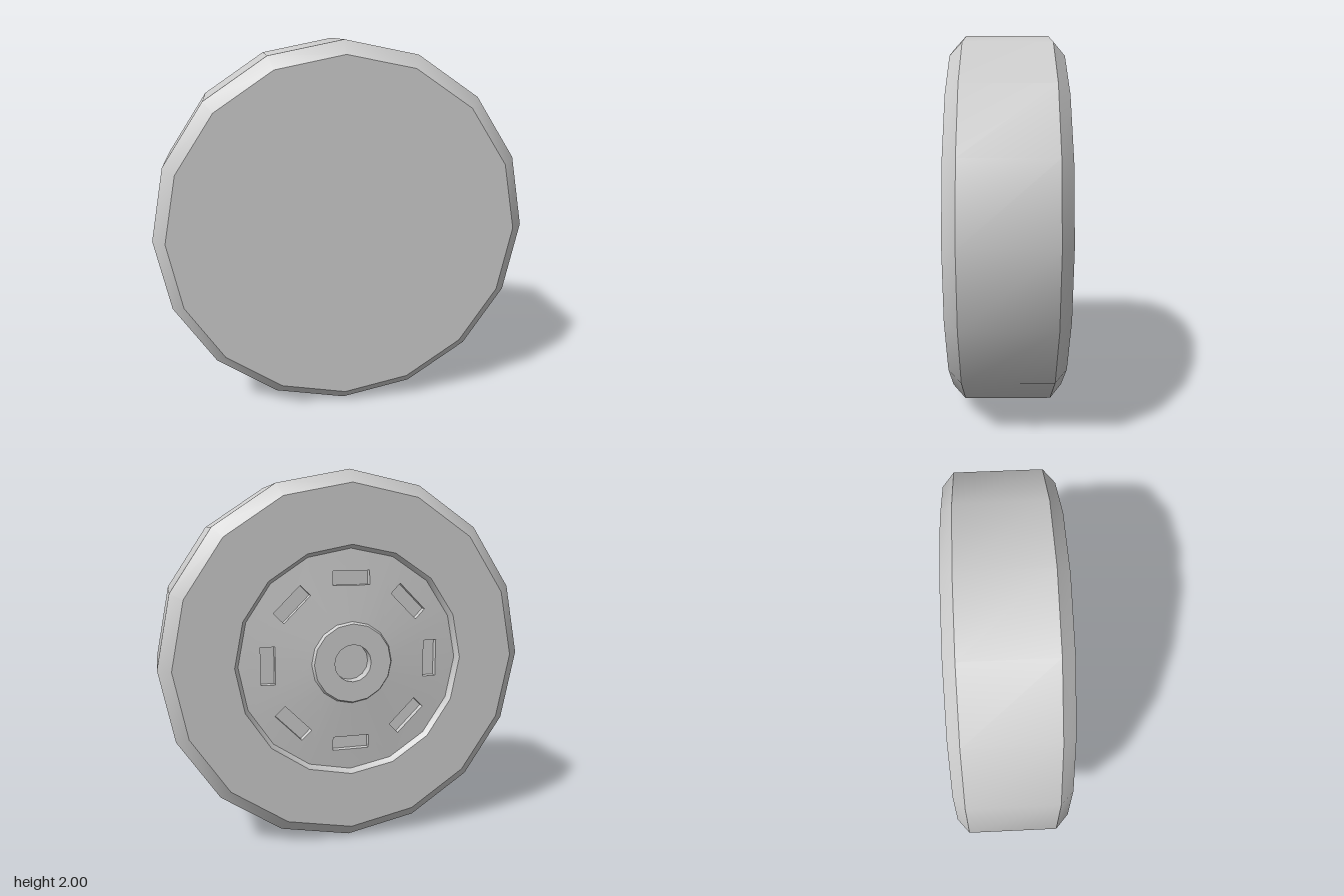
import * as THREE from 'three';
import { toCreasedNormals } from 'three/addons/utils/BufferGeometryUtils.js';

const SIDES = 16, SLOTS = 8;
const HUB_R = 0.22, HUB_Z = 0.28, RIM_R = 0.6, RIM_Z = 0.25;
const SLOT = { inner: 0.41, outer: 0.485, length: 0.2, floorZ: 0.225 };
const SLOPE = (RIM_Z - HUB_Z) / (RIM_R - HUB_R);

// Height of the shallow conical disc at a given radius
const discZ = (x, y) => HUB_Z + SLOPE * (Math.hypot(x, y) - HUB_R);

const polar = (r, a) => new THREE.Vector2(r * Math.cos(a), r * Math.sin(a));

function addMesh(parent, name, geometry, material) {
  const mesh = new THREE.Mesh(geometry, material);
  mesh.name = name;
  parent.add(mesh);
  return mesh;
}

// Revolve a [radius, z] profile around the z axis, keeping its edges sharp
function revolve(profile) {
  const points = profile.map(([r, z]) => new THREE.Vector2(r, z));
  const geometry = new THREE.LatheGeometry(points, SIDES).rotateX(Math.PI / 2);
  return toCreasedNormals(geometry, 0.5);
}

// One eighth of the disc, cut by a slot and raised into a cone
function discSector() {
  const h = Math.PI / SLOTS, w = SLOT.length / 2;
  const shape = new THREE.Shape([
    polar(HUB_R, -h), polar(RIM_R, -h), polar(RIM_R, 0),
    polar(RIM_R, h), polar(HUB_R, h), polar(HUB_R, 0),
  ]);
  shape.holes.push(new THREE.Path([
    new THREE.Vector2(SLOT.inner, -w), new THREE.Vector2(SLOT.inner, w),
    new THREE.Vector2(SLOT.outer, w), new THREE.Vector2(SLOT.outer, -w),
  ]));
  const geometry = new THREE.ShapeGeometry(shape);
  const pos = geometry.attributes.position, normal = geometry.attributes.normal;
  const n = new THREE.Vector3();
  for (let i = 0; i < pos.count; i++) {
    const x = pos.getX(i), y = pos.getY(i), r = Math.hypot(x, y);
    pos.setZ(i, discZ(x, y));
    n.set(-SLOPE * x / r, -SLOPE * y / r, 1).normalize();
    normal.setXYZ(i, n.x, n.y, n.z);
  }
  return geometry;
}

// Inward-facing open box whose rim follows the cone
function slotPocket() {
  const geometry = new THREE.BoxGeometry(SLOT.outer - SLOT.inner, SLOT.length, 1);
  geometry.scale(1, 1, -1).translate((SLOT.inner + SLOT.outer) / 2, 0, 0);
  geometry.setIndex(Array.from(geometry.index.array).slice(0, 30));
  geometry.clearGroups();
  const pos = geometry.attributes.position;
  for (let i = 0; i < pos.count; i++) {
    pos.setZ(i, pos.getZ(i) > 0 ? discZ(pos.getX(i), pos.getY(i)) : SLOT.floorZ);
  }
  geometry.computeVertexNormals();
  return geometry;
}

export function createModel() {
  const model = new THREE.Group();
  model.name = 'wheel';
  const grey = new THREE.MeshStandardMaterial({ color: 0xcccccc });

  // Wheel built with its detailed side towards +z, then turned to the back
  const wheel = new THREE.Group();
  wheel.name = 'wheelBody';
  wheel.position.y = 1;
  wheel.rotation.y = Math.PI;
  model.add(wheel);

  // Tyre with bevelled edges, closed flat front and recessed rim lip
  addMesh(wheel, 'tyre', revolve([
    [0, -0.295], [0.93, -0.295], [1, -0.23], [1, 0.22],
    [0.93, 0.28], [0.62, 0.28], [RIM_R, RIM_Z],
  ]), grey);

  // Raised hub with a blind axle hole
  addMesh(wheel, 'hub', revolve([
    [HUB_R, HUB_Z], [0.21, 0.3], [0.1, 0.3], [0.1, 0.235], [0, 0.235],
  ]), grey);

  // Disc sectors with slots
  const sector = discSector(), pocket = slotPocket();
  for (let i = 0; i < SLOTS; i++) {
    const angle = (i / SLOTS) * Math.PI * 2;
    addMesh(wheel, 'discSector', sector, grey).rotation.z = angle;
    addMesh(wheel, 'slotPocket', pocket, grey).rotation.z = angle;
  }
  return model;
}
